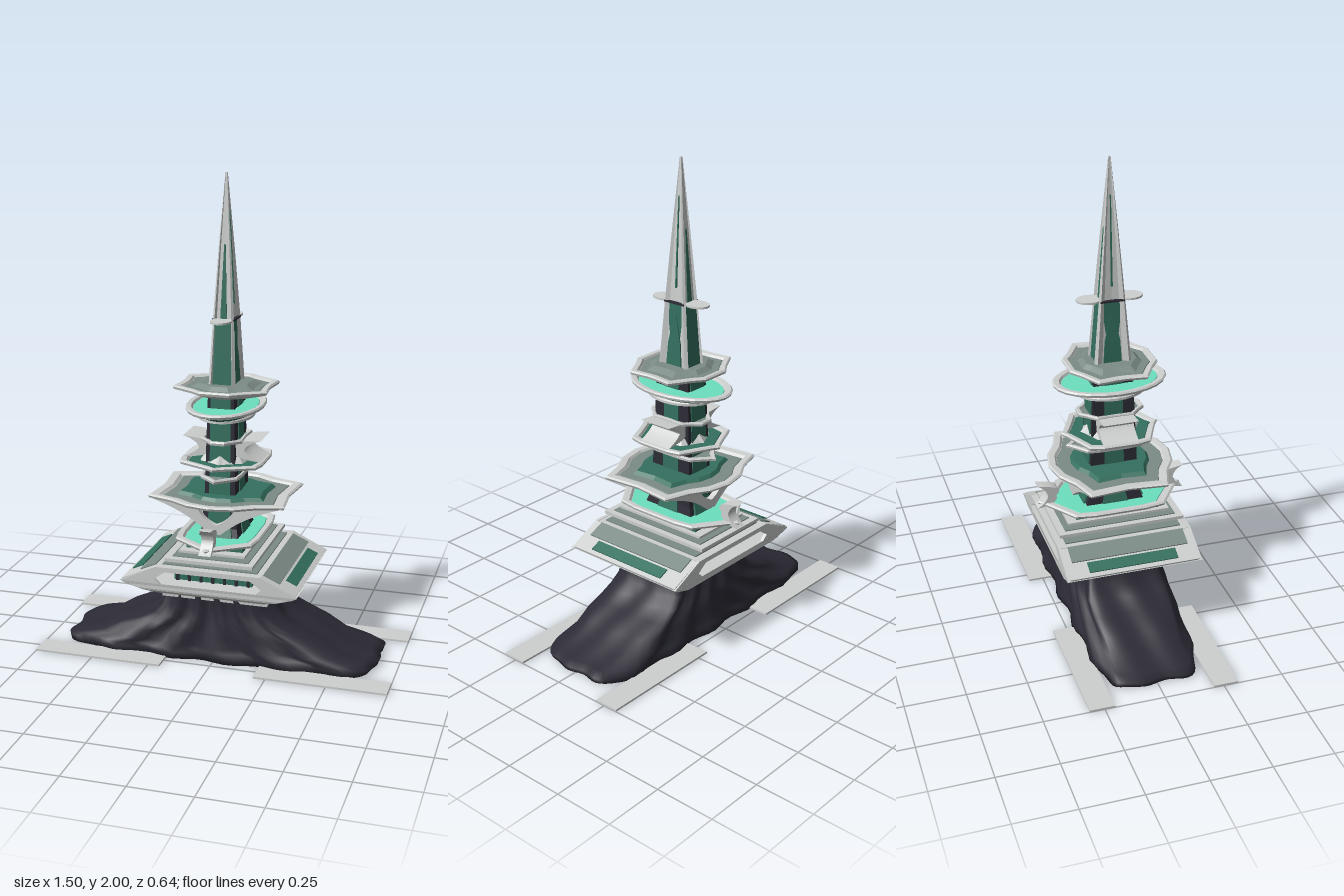
import * as THREE from 'three';

const mat = (name, color) => Object.assign(new THREE.MeshStandardMaterial({ color, side: THREE.DoubleSide }), { name });
const M = {
  rock: mat('dark rock', 0x2c2b36),
  shell: mat('pale shell', 0xcdd0ce),
  deck: mat('grey deck', 0x7d8c87),
  teal: mat('teal glass', 0x34705f),
  mint: mat('mint deck', 0x6cdfc0),
  amber: mat('amber light', 0x98601c),
};

// Mirror a quarter outline (from +x round to +z) into a full loop
function mirror4(q) {
  const r = [...q].reverse(), neg = (p, sx, sz) => p.map(([x, z]) => [x * sx, z * sz]);
  const all = [...q, ...neg(r, -1, 1), ...neg(q, -1, -1), ...neg(r, 1, -1)];
  return all.filter(([x, z], i) => {
    const [a, b] = all[(i + all.length - 1) % all.length];
    return Math.abs(a - x) + Math.abs(b - z) > 1e-6;
  });
}

const RECT = mirror4([[1, 1]]);
const POINTED = mirror4([[1, 0.35], [0.92, 0.62], [0.5, 0.78], [0.14, 0.92], [0, 1]]);
const OCT = mirror4([[0.94, 0], [1, 0.62], [0.62, 0.75], [0.34, 0.93], [0, 1]]);
const HEX = mirror4([[0.95, 0.1], [1, 0.55], [0.55, 0.82], [0.32, 1]]);
const ELLIPSE = mirror4([0, 1, 2, 3, 4, 5, 6].map(i => [Math.cos(i * Math.PI / 12), Math.sin(i * Math.PI / 12)]));
const STAR = mirror4([[0.7, 0], [0.75, 0.55], [1, 0.85], [0.8, 1], [0.65, 0.8], [0, 0.78]]);

// Loft an outline through layers of [y, half width, half depth]; warp may shift points
function loft(outline, layers, smooth = false, warp = (x, y, z) => [x, y, z]) {
  const pos = [], idx = [], n = outline.length, L = layers.length;
  for (const [y, sx, sz] of layers) for (const [x, z] of outline) pos.push(...warp(x * sx, y, z * sz, sx));
  pos.push(0, layers[0][0], 0, 0, layers[L - 1][0], 0);
  for (let i = 0; i < n; i++) {
    const j = (i + 1) % n, t = (L - 1) * n;
    for (let k = 0; k < L - 1; k++) {
      const a = k * n + i, b = k * n + j;
      idx.push(a, a + n, b + n, a, b + n, b);
    }
    idx.push(L * n, i, j, L * n + 1, t + j, t + i);
  }
  let g = new THREE.BufferGeometry();
  g.setAttribute('position', new THREE.Float32BufferAttribute(pos, 3));
  g.setIndex(idx);
  if (!smooth) g = g.toNonIndexed();
  g.computeVertexNormals();
  return g;
}

export function createModel() {
  const model = new THREE.Group();
  model.name = 'tower';
  const add = (name, g, m, parent = model) => {
    const mesh = new THREE.Mesh(g, m);
    mesh.name = name;
    parent.add(mesh);
    return mesh;
  };
  const box = (name, m, w, h, d, x, y, z) => add(name, new THREE.BoxGeometry(w, h, d), m).position.set(x, y, z);
  // Extrude a front-plane shape, centred on z
  const slab = (shape, depth, z = 0) =>
    new THREE.ExtrudeGeometry(shape, { depth, bevelEnabled: false, curveSegments: 10 }).translate(0, 0, z - depth / 2);
  const poly = pts => new THREE.Shape(pts.map(p => new THREE.Vector2(...p)));
  // Thin plate lying along a sloped line in the front plane
  const strip = (name, m, [x0, y0], [x1, y1], t, depth) => {
    const s = add(name, new THREE.BoxGeometry(Math.hypot(x1 - x0, y1 - y0), t, depth), m);
    s.position.set((x0 + x1) / 2, (y0 + y1) / 2, 0);
    s.rotation.z = Math.atan2(y1 - y0, x1 - x0);
  };

  // Fluted rock foot with spreading roots
  const super4 = Array.from({ length: 96 }, (_, i) => {
    const a = i / 96 * Math.PI * 2, c = Math.cos(a), s = Math.sin(a);
    const r = Math.pow(c ** 6 + s ** 6, -1 / 6);
    return [c * r, s * r];
  });
  add('rockFoot', loft(super4, [
    [0.005, 0.655, 0.215], [0.03, 0.665, 0.215], [0.045, 0.63, 0.21], [0.065, 0.53, 0.205], [0.11, 0.45, 0.2],
    [0.145, 0.36, 0.195], [0.18, 0.285, 0.19], [0.22, 0.245, 0.18], [0.275, 0.22, 0.178], [0.31, 0.215, 0.178],
  ], true, (x, y, z, sx) => {
    const f = 0.011 * Math.sin(x / sx * 17 + Math.sin(y * 25));
    return [x + 0.008 * Math.sin(z * 38 + y * 20), y, z + f * Math.sign(z) * Math.min(1, Math.abs(z) * 8)];
  }), M.rock);

  // Four plates on the ground
  for (const sx of [-1, 1]) for (const sz of [-1, 1])
    box('groundPlate', M.shell, 0.55, 0.008, 0.105, sx * 0.475, 0.008, sz * 0.26);

  // Main hall: collar, flared hull, open end frames, sloping roof sides
  add('collar', loft(RECT, [[0.265, 0.225, 0.183], [0.315, 0.23, 0.187]]), M.shell);
  add('hallHull', loft(RECT, [[0.305, 0.22, 0.25], [0.325, 0.28, 0.28], [0.35, 0.355, 0.288], [0.36, 0.372, 0.29], [0.352, 0.34, 0.28]]), M.shell);
  const frame = poly([[-0.37, 0.36], [-0.3, 0.335], [0.3, 0.335], [0.37, 0.36], [0.22, 0.432], [-0.22, 0.432]]);
  frame.holes.push(poly([[-0.2, 0.355], [-0.225, 0.38], [-0.18, 0.412], [0.18, 0.412], [0.225, 0.38], [0.2, 0.355]]));
  for (const s of [-1, 1]) {
    add('hallFrame', slab(frame, 0.015, s * 0.28), M.shell);
    strip('roofSide', M.shell, [s * 0.365, 0.36], [s * 0.22, 0.425], 0.012, 0.56);
    strip('roofGlass', M.teal, [s * 0.35, 0.374], [s * 0.305, 0.394], 0.008, 0.38);
    strip('roofPanel', M.deck, [s * 0.295, 0.399], [s * 0.225, 0.43], 0.008, 0.5);
    strip('hullLight', M.amber, [s * 0.285, 0.325], [s * 0.335, 0.342], 0.006, 0.2);
  }
  box('hallRoof', M.shell, 0.45, 0.018, 0.56, 0, 0.422, 0);
  box('hallRoofPanel', M.deck, 0.4, 0.006, 0.5, 0, 0.433, 0);
  box('hallCore', M.teal, 0.33, 0.08, 0.4, 0, 0.38, 0);
  for (let i = -3; i <= 3; i++) for (const s of [-1, 1])
    box('hallPost', M.rock, 0.012, 0.075, 0.012, i * 0.05, 0.38, s * 0.202);

  // Stepped tiers above the hall
  box('lowerTierGlass', M.teal, 0.3, 0.03, 0.36, 0, 0.445, 0);
  box('lowerTierPlate', M.shell, 0.37, 0.014, 0.54, 0, 0.46, 0);
  box('lowerTierPanel', M.deck, 0.32, 0.006, 0.48, 0, 0.468, 0);
  box('upperTierGlass', M.teal, 0.24, 0.045, 0.36, 0, 0.492, 0);
  box('upperTierPlate', M.shell, 0.28, 0.01, 0.44, 0, 0.484, 0);

  // Tapering core shaft with glass strips
  add('shaft', loft(RECT, [[0.45, 0.1, 0.15], [0.56, 0.075, 0.11], [0.7, 0.065, 0.1], [1.12, 0.055, 0.082]]), M.rock);
  add('shaftGlassFront', loft(RECT, [[0.5, 0.065, 0.142], [0.57, 0.048, 0.114], [0.7, 0.045, 0.104], [1.12, 0.042, 0.086]]), M.teal);
  add('shaftGlassSide', loft(RECT, [[0.5, 0.094, 0.06], [0.57, 0.078, 0.045], [0.7, 0.069, 0.042], [1.12, 0.059, 0.036]]), M.teal);

  // Dish-shaped decks: underside, rim, recessed floor
  const dish = (name, outline, y, h, w, d, floor, keel = 0.5) => {
    add(name, loft(outline, [[y - h, w * keel, d * keel], [y - h * 0.5, w * 0.8, d * 0.8], [y - 0.01, w * 0.98, d * 0.98],
      [y, w, d], [y + 0.006, w * 0.97, d * 0.97], [y + 0.004, w * 0.86, d * 0.88], [y - 0.006, w * 0.82, d * 0.85]]), M.shell);
    add(name + 'Floor', loft(outline, [[y - 0.008, w * 0.82, d * 0.85], [y - 0.003, w * 0.8, d * 0.84]]), floor);
  };
  dish('pointedDeck', POINTED, 0.528, 0.028, 0.175, 0.315, M.mint, 0.7);
  dish('wideDeck', OCT, 0.692, 0.025, 0.29, 0.265, M.deck, 0.72);
  add('wideDeckStep', loft(OCT, [[0.685, 0.19, 0.17], [0.703, 0.17, 0.155]]), M.teal);
  dish('smallDeck', POINTED, 0.78, 0.015, 0.085, 0.19, M.deck, 0.8);
  dish('boatDeck', POINTED, 0.838, 0.03, 0.175, 0.21, M.teal, 0.5);
  add('boatDeckStep', loft(POINTED, [[0.83, 0.1, 0.13], [0.865, 0.075, 0.1]]), M.shell);
  dish('hornDeck', HEX, 0.93, 0.03, 0.09, 0.14, M.deck, 0.45);
  add('discBase', loft(ELLIPSE, [[1.005, 0.08, 0.11], [1.015, 0.115, 0.15], [1.025, 0.115, 0.15], [1.04, 0.1, 0.14]]), M.shell);
  add('discGlass', loft(ELLIPSE, [[1.025, 0.1, 0.15], [1.052, 0.14, 0.21]]), M.teal);
  dish('disc', ELLIPSE, 1.065, 0.022, 0.16, 0.24, M.mint, 0.8);
  dish('crownDeck', HEX, 1.145, 0.045, 0.198, 0.185, M.deck, 0.45);
  add('crownStep', loft(HEX, [[1.138, 0.14, 0.13], [1.157, 0.1, 0.105]]), M.deck);
  for (const s of [-1, 1]) box('deckLight', M.amber, 0.14, 0.006, 0.16, s * 0.13, 0.665, 0);

  // Sweeping wings under the wide deck, front and back
  for (const s of [-1, 1]) for (const z of [-1, 1]) {
    const w = new THREE.Shape();
    w.moveTo(s * 0.28, 0.685);
    w.quadraticCurveTo(s * 0.12, 0.64, s * 0.02, 0.55);
    w.lineTo(0, 0.555);
    w.lineTo(0, 0.59);
    w.quadraticCurveTo(s * 0.06, 0.61, s * 0.09, 0.685);
    add('deckWing', slab(w, 0.025, z * 0.155), M.shell);
  }

  // Crescents whose tips point along +x from the shape origin
  const crescent = (w, h, thick) => {
    const c = new THREE.Shape();
    c.moveTo(w, h);
    c.quadraticCurveTo(-w + thick, h * 0.75, 0, 0);
    c.quadraticCurveTo(-w * 0.2, -h * 0.8, w, -h);
    c.quadraticCurveTo(w * 0.5, -h * 0.5, thick, 0);
    c.quadraticCurveTo(w * 0.5, h * 0.7, w, h);
    return c;
  };
  for (const s of [-1, 1]) {
    // Tall horns at the deck points
    const horn = add('pointHorn', slab(crescent(0.08, 0.052, 0.035), 0.05), M.shell);
    horn.position.set(0, 0.565, s * 0.24);
    horn.rotation.y = -s * Math.PI / 2;
    // Wide horns at the sides
    const side = add('sideHorn', slab(crescent(0.11, 0.045, 0.04), 0.15), M.shell);
    side.position.set(s * 0.055, 0.89, 0);
    side.rotation.y = s > 0 ? 0 : Math.PI;
  }

  // Ribbed spire with glass faces and two paddles
  add('spire', loft(STAR, [[1.13, 0.058, 0.08], [1.42, 0.044, 0.055], [1.7, 0.026, 0.031], [2, 0.004, 0.004]]), M.shell);
  add('spireGlassFront', loft(RECT, [[1.13, 0.041, 0.07], [1.42, 0.034, 0.05]]), M.teal);
  add('spireGlassTop', loft(RECT, [[1.42, 0.014, 0.0455], [1.72, 0.003, 0.0255]]), M.teal);
  add('spireGlassSide', loft(RECT, [[1.13, 0.049, 0.04], [1.25, 0.0435, 0.032], [1.37, 0.037, 0.004]]), M.teal);
  add('spireSlit', loft(RECT, [[1.48, 0.033, 0.004], [1.85, 0.0145, 0.002]]), M.teal);
  for (const s of [-1, 1])
    add('paddle', loft(ELLIPSE, [[1.416, 0.043, 0.055], [1.424, 0.043, 0.055]]), M.shell).position.z = s * 0.083;
  box('spireBand', M.rock, 0.092, 0.007, 0.1, 0, 1.42, 0);

  return model;
}
